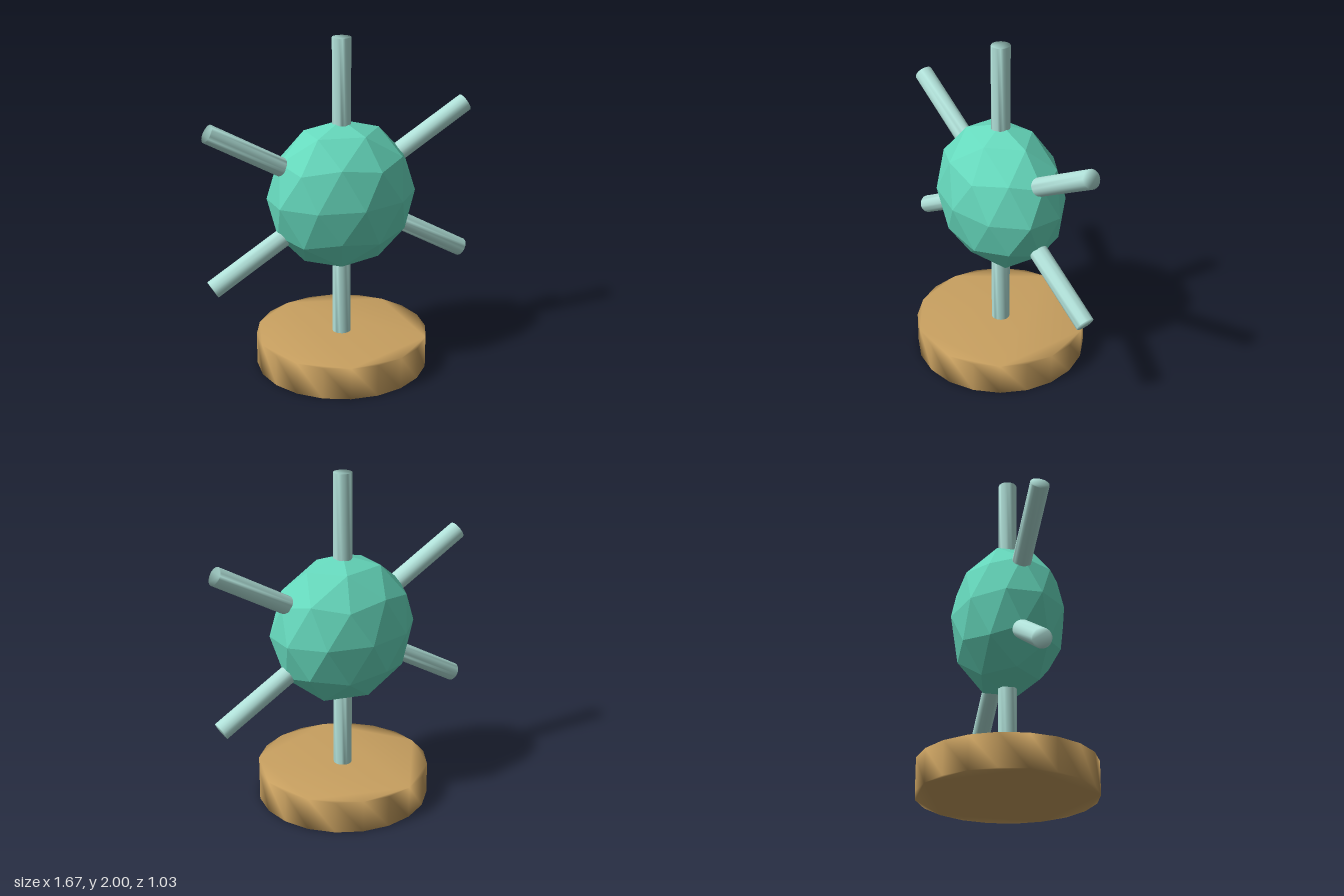
import * as THREE from 'three';
import { mergeVertices } from 'three/addons/utils/BufferGeometryUtils.js';

const CENTRE_Y = 1.07;
const SIDES = 20;

// Upright prism standing on y = 0, its normals shared across the rims
function softCylinder(radius, height) {
  const points = [];
  for (let i = 0; i < SIDES; i++) {
    const a = (i / SIDES) * Math.PI * 2;
    points.push(new THREE.Vector2(Math.cos(a) * radius, Math.sin(a) * radius));
  }
  const geometry = new THREE.ExtrudeGeometry(new THREE.Shape(points), {
    depth: height, bevelEnabled: false,
  });
  geometry.rotateX(-Math.PI / 2);
  geometry.deleteAttribute('normal');
  geometry.deleteAttribute('uv');
  const merged = mergeVertices(geometry, 1e-4);
  merged.computeVertexNormals();
  return merged;
}

// Subdivided icosahedron with a vertex at each pole
function icosphere(radius) {
  const vertices = [0, 1, 0, 0, -1, 0];
  const faces = [];
  const ringY = 1 / Math.sqrt(5), ringR = 2 / Math.sqrt(5);
  for (let i = 0; i < 5; i++) {
    const a = (i * 2 * Math.PI) / 5, b = a + Math.PI / 5;
    vertices.push(Math.cos(a) * ringR, ringY, Math.sin(a) * ringR);
    vertices.push(Math.cos(b) * ringR, -ringY, Math.sin(b) * ringR);
    const j = (i + 1) % 5;
    const u0 = 2 + 2 * i, l0 = u0 + 1, u1 = 2 + 2 * j, l1 = u1 + 1;
    faces.push(0, u1, u0, u0, u1, l0, l0, u1, l1, 1, l0, l1);
  }
  return new THREE.PolyhedronGeometry(vertices, faces, radius, 1);
}

export function createModel() {
  const model = new THREE.Group();
  model.name = 'spokedOrnament';

  const add = (name, geometry, material) => {
    const mesh = new THREE.Mesh(geometry, material);
    mesh.name = name;
    model.add(mesh);
    return mesh;
  };

  // Round base
  add('base', softCylinder(0.515, 0.195), new THREE.MeshStandardMaterial({ color: 0xc8a060 }));

  // Faceted body, flattened front to back
  const bodyGeometry = icosphere(0.45);
  bodyGeometry.scale(1, 1, 0.75);
  bodyGeometry.computeVertexNormals();
  const body = add('body', bodyGeometry,
    new THREE.MeshStandardMaterial({ color: 0x66d9bd, flatShading: true }));
  body.position.y = CENTRE_Y;

  // Six rods around the body; the lowest one is the stem set into the base
  const rodGeometry = softCylinder(0.055, 0.58);
  rodGeometry.translate(0, 0.35, 0);
  const rodMaterial = new THREE.MeshStandardMaterial({ color: 0xb0e0d8 });
  for (let i = 0; i < 6; i++) {
    const rod = add(i === 3 ? 'stem' : `rod${i + 1}`, rodGeometry, rodMaterial);
    rod.position.y = CENTRE_Y;
    rod.rotation.z = (i * Math.PI) / 3;
  }

  return model;
}
